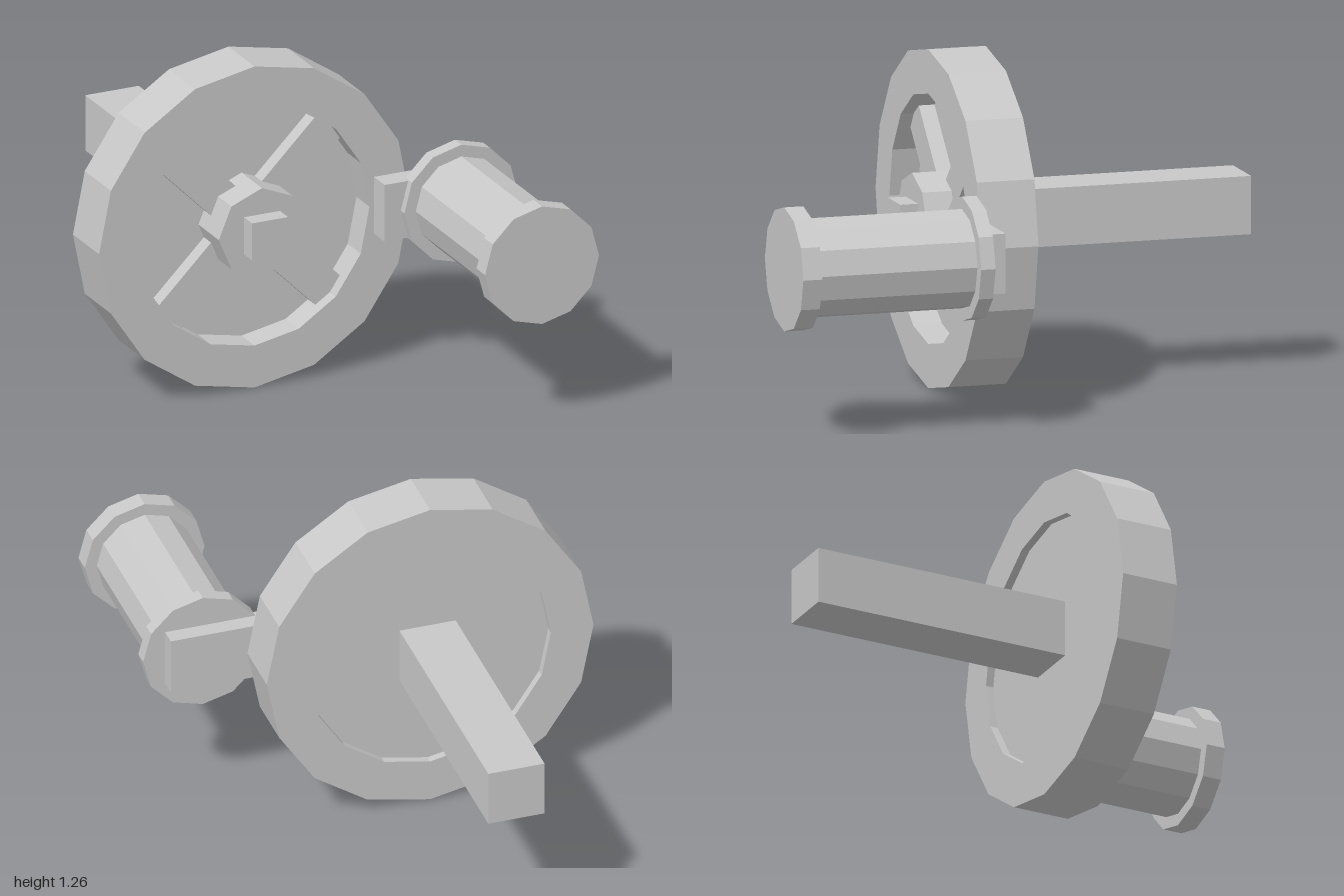
import * as THREE from 'three';

export function createModel() {
  const model = new THREE.Group();
  model.name = 'crankWheel';
  const grey = new THREE.MeshStandardMaterial({ color: 0xc8c8c8, flatShading: true });
  grey.name = 'light grey';

  const add = (name, geometry, parent = model) => {
    const mesh = new THREE.Mesh(geometry, grey);
    mesh.name = name;
    parent.add(mesh);
    return mesh;
  };
  // Faceted disc along z, between z0 and z1
  const disc = (name, radius, sides, z0, z1, parent) => {
    const g = new THREE.CylinderGeometry(radius, radius, z1 - z0, sides);
    g.rotateX(Math.PI / 2).translate(0, 0, (z0 + z1) / 2);
    return add(name, g, parent);
  };
  // Box centred on x = y = 0, between z0 and z1
  const bar = (name, w, h, z0, z1, parent) => {
    const g = new THREE.BoxGeometry(w, h, z1 - z0).translate(0, 0, (z0 + z1) / 2);
    return add(name, g, parent);
  };
  const polygon = (radius, sides) => Array.from({ length: sides }, (_, i) => {
    const a = (i / sides) * Math.PI * 2;
    return new THREE.Vector2(Math.cos(a) * radius, Math.sin(a) * radius);
  });

  // Wheel: faceted rim, recessed web, crossed spokes, hub
  const wheel = new THREE.Group();
  wheel.name = 'wheel';
  wheel.position.set(-0.192, 0.63, 0);
  model.add(wheel);

  const rimShape = new THREE.Shape(polygon(0.628, 16));
  rimShape.holes.push(new THREE.Path(polygon(0.464, 16)));
  const rim = new THREE.ExtrudeGeometry(rimShape, { depth: 0.22, bevelEnabled: false });
  add('rim', rim.translate(0, 0, -0.02), wheel);

  disc('web', 0.468, 16, 0.01, 0.09, wheel);
  for (const side of [-1, 1]) {
    bar('spoke', 0.95, 0.14, 0.08, 0.15, wheel).rotation.z = side * Math.PI / 4;
  }
  disc('hub', 0.174, 8, 0.08, 0.262, wheel);
  bar('hubPin', 0.145, 0.145, 0.25, 0.33, wheel);
  bar('shaft', 0.216, 0.216, -1, 0.03, wheel);

  // Crank: arm fixed to the rim, with a flanged handle
  const crankArm = bar('crankArm', 0.44, 0.222, 0.2, 0.29);
  crankArm.position.set(0.51, 0.633, 0);

  const handle = new THREE.Group();
  handle.name = 'handle';
  handle.position.set(0.585, 0.632, 0);
  model.add(handle);
  disc('innerFlange', 0.23, 12, 0.265, 0.32, handle);
  disc('grip', 0.184, 12, 0.31, 0.935, handle);
  disc('outerFlange', 0.23, 12, 0.927, 1, handle);

  return model;
}
